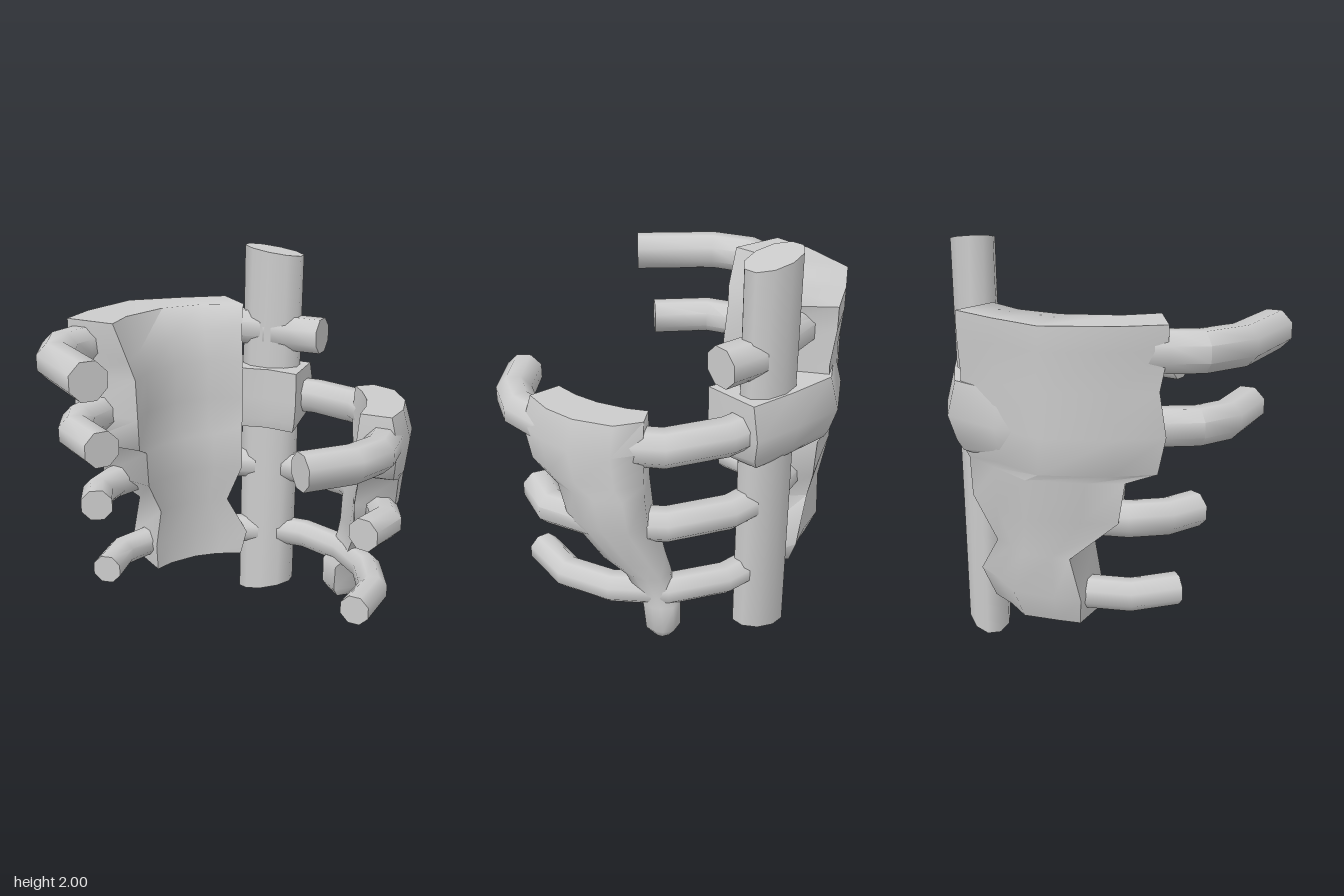
import * as THREE from 'three';
import { toCreasedNormals } from 'three/addons/utils/BufferGeometryUtils.js';

const material = new THREE.MeshStandardMaterial({ color: 0xcccccc });

// Skin a series of equal-sized rings and close both ends with strips.
function loft(name, rings, crease) {
  const n = rings[0].length, last = (rings.length - 1) * n, index = [];
  for (let r = 0; r < rings.length - 1; r++) {
    for (let i = 0; i < n; i++) {
      const a = r * n + i, b = r * n + (i + 1) % n;
      index.push(a, a + n, b, b, a + n, b + n);
    }
  }
  for (let i = 0; i < n / 2 - 1; i++) {
    const j = n - 1 - i;
    index.push(i, i + 1, j, i + 1, j - 1, j);
    index.push(last + i, last + j, last + i + 1, last + i + 1, last + j, last + j - 1);
  }
  const g = new THREE.BufferGeometry();
  g.setAttribute('position', new THREE.Float32BufferAttribute(rings.flat(2), 3));
  g.setIndex(index);
  const mesh = new THREE.Mesh(toCreasedNormals(g, crease), material);
  mesh.name = name;
  return mesh;
}

// Round bar following [x, z] points at height y.
function rib(name, y, radius, path) {
  const rings = path.map(([x, z], k) => {
    const [ax, az] = path[Math.max(k - 1, 0)];
    const [bx, bz] = path[Math.min(k + 1, path.length - 1)];
    const len = Math.hypot(bx - ax, bz - az);
    const sx = -(bz - az) / len, sz = (bx - ax) / len;
    return Array.from({ length: 8 }, (_, i) => {
      const t = (i + 0.5) * Math.PI / 4, c = Math.cos(t) * radius;
      return [x + sx * c, y + Math.sin(t) * radius, z + sz * c];
    });
  });
  return loft(name, rings, 0.9);
}

// Curved thick wall. Rows: [y, start angle, end angle, inner radius, outer radius,
// drop of the inner start corner]; angles in degrees from the back, positive towards +x.
// The swell factors shape the outer face along the stations.
const STATIONS = [0, 0.2, 0.5, 0.75, 1];
function wall(name, rows, skewStart, skewEnd, swell) {
  const rings = rows.map(([y, a0, a1, rIn, rOut, drop = 0]) => {
    const outer = [], inner = [];
    const at = (deg, r, h) => {
      const t = THREE.MathUtils.degToRad(deg);
      return [r * Math.sin(t), h, -r * Math.cos(t)];
    };
    STATIONS.forEach((u, i) => {
      outer.push(at(THREE.MathUtils.lerp(a0, a1, u), rOut * swell[i], y));
      inner.unshift(at(THREE.MathUtils.lerp(a0 - skewStart, a1 + skewEnd, u), rIn, y - drop * (1 - u)));
    });
    return [...outer, ...inner];
  });
  return loft(name, rings, 1.15);
}

// Oval column with slanted ends.
function spine() {
  const ring = (x, y, z, slant) => Array.from({ length: 10 }, (_, i) => {
    const t = -(i + 0.5) * Math.PI / 5, c = Math.cos(t);
    return [x + 0.16 * c, y + slant * c, z - 0.105 * Math.sin(t)];
  });
  return loft('spine', [ring(0.01, 0.04, -0.615, 0.04), ring(0.03, 1.975, -0.635, -0.025)], 0.9);
}

export function createModel() {
  const model = new THREE.Group();
  model.add(spine());

  // Ribs, from the top down
  model.add(
    rib('rightRib1', 1.565, 0.098, [[0, -0.63], [-0.35, -0.56], [-0.62, -0.32], [-0.72, -0.05],
      [-0.77, 0.1], [-0.8, 0.23], [-0.72, 0.43], [-0.41, 0.71]]),
    rib('leftRibStub', 1.54, 0.098, [[0, -0.62], [0.15, -0.62], [0.31, -0.6]]),
    rib('rightRib2', 1.21, 0.092, [[0, -0.63], [-0.35, -0.54], [-0.6, -0.28], [-0.68, 0.05],
      [-0.71, 0.25], [-0.65, 0.4], [-0.42, 0.59]]),
    rib('leftRib2', 1.2, 0.092, [[0, -0.64], [0.29, -0.62], [0.55, -0.5], [0.72, -0.28],
      [0.78, -0.02], [0.78, 0.22], [0.7, 0.38], [0.51, 0.55]]),
    rib('rightRib3', 0.785, 0.085, [[0, -0.62], [-0.35, -0.52], [-0.58, -0.28], [-0.68, -0.05],
      [-0.69, 0.12], [-0.62, 0.28]]),
    rib('leftRib3', 0.78, 0.085, [[0, -0.62], [0.25, -0.61], [0.52, -0.48], [0.72, -0.25],
      [0.8, 0], [0.73, 0.19]]),
    rib('rightRib4', 0.39, 0.078, [[0, -0.6], [-0.32, -0.48], [-0.53, -0.28], [-0.64, -0.03],
      [-0.62, 0.2]]),
    rib('leftRib4', 0.39, 0.078, [[0, -0.61], [0.25, -0.59], [0.5, -0.46], [0.67, -0.26],
      [0.75, -0.03], [0.71, 0.22]]),
  );

  // Large remnant wrapping the right ribs
  const rightSwell = [1.04, 1.04, 1.08, 1, 1];
  model.add(wall('rightFlesh', [
    [0.26, -67, -21, 0.49, 0.65],
    [0.4, -68, -17, 0.49, 0.7],
    [0.6, -64, -30, 0.48, 0.7],
    [0.8, -81, -20, 0.46, 0.75],
    [0.99, -83, -20, 0.46, 0.76],
    [1.03, -93, -20, 0.47, 0.78],
    [1.2, -95, -20, 0.47, 0.8],
    [1.4, -93, -20, 0.48, 0.79],
    [1.58, -95, -21, 0.51, 0.81, 0.08],
    [1.69, -95, -21, 0.58, 0.81],
  ], 7, 9, rightSwell));

  // Band reaching from it around the spine
  model.add(wall('spineBand', [
    [1.03, -54, 14, 0.5, 0.73],
    [1.08, -54, 16, 0.49, 0.755],
    [1.2, -54, 17, 0.49, 0.79],
    [1.36, -54, 17, 0.49, 0.75],
  ], 0, 9, rightSwell));

  // Smaller remnant tapering down the left ribs to a rounded tip
  model.add(wall('leftFlesh', [
    [0.14, 45, 53, 0.62, 0.72],
    [0.19, 42, 55, 0.59, 0.75],
    [0.33, 42, 56, 0.59, 0.75],
    [0.38, 44, 58, 0.63, 0.74],
    [0.5, 46, 62, 0.65, 0.76],
    [0.58, 48, 70, 0.65, 0.78],
    [0.8, 53, 80, 0.63, 0.85],
    [0.97, 54, 83, 0.65, 0.86],
    [1.03, 54, 95, 0.67, 0.86],
    [1.2, 54, 97, 0.66, 0.88],
    [1.34, 54, 96, 0.67, 0.84],
  ], 0, 0, [0.92, 1, 1.02, 1.01, 0.98]));

  return model;
}
